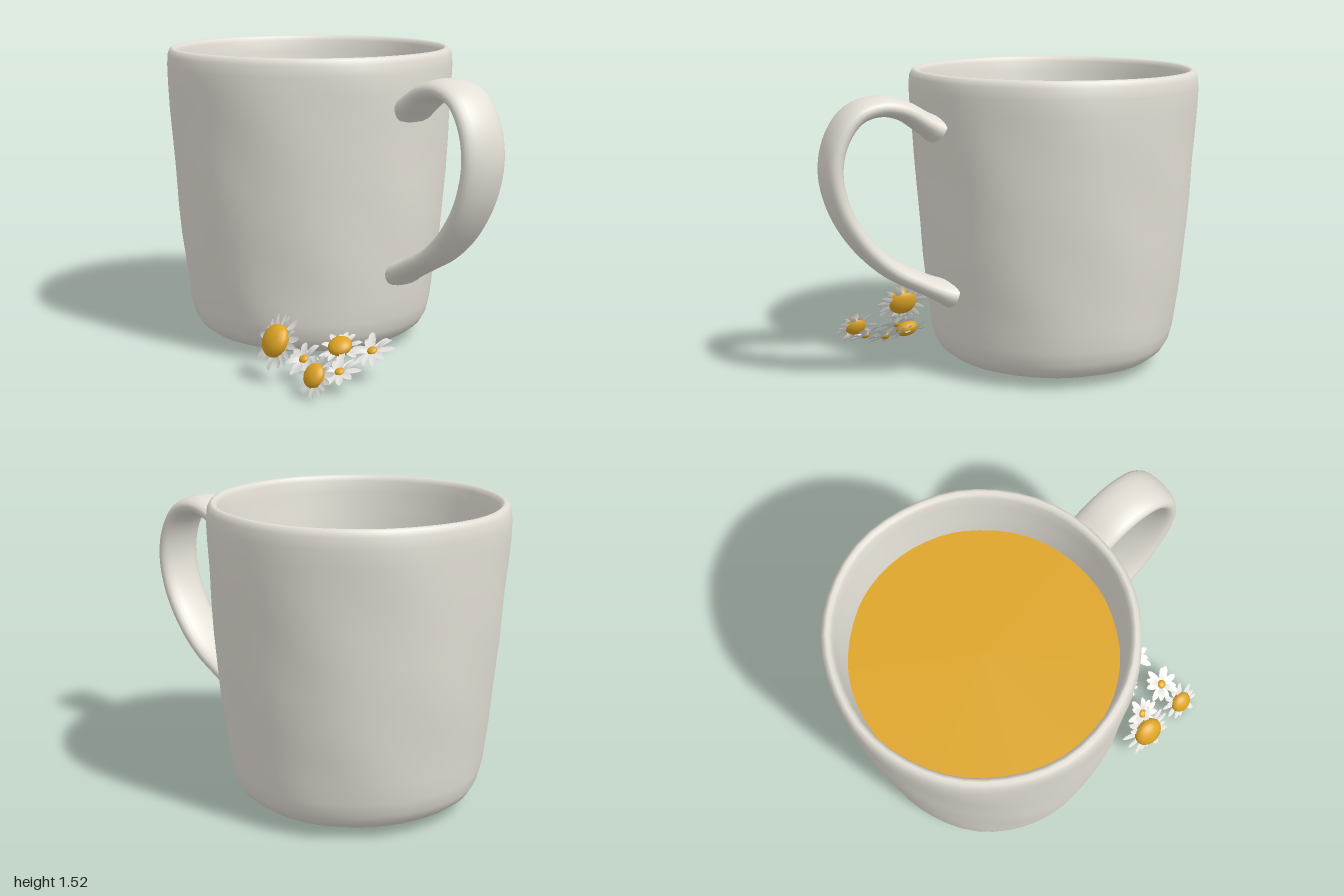
import * as THREE from 'three';
import { mergeGeometries, mergeVertices } from 'three/addons/utils/BufferGeometryUtils.js';

const ceramic = new THREE.MeshStandardMaterial({ name: 'ceramic', color: 0xe3dfd6 });
const amber = new THREE.MeshStandardMaterial({ name: 'amber', color: 0xdda424 });
const stain = new THREE.MeshStandardMaterial({ name: 'stainedClay', color: 0xd0b678 });
const petalWhite = new THREE.MeshStandardMaterial({ name: 'petalWhite', color: 0xf1f0ec, side: THREE.DoubleSide });

const MUG_X = -0.272;
const V2 = (p) => new THREE.Vector2(p[0], p[1]);

function addMesh(parent, name, geometry, material) {
  const mesh = new THREE.Mesh(geometry, material);
  mesh.name = name;
  parent.add(mesh);
  return mesh;
}

// Lathe with a faint hand-thrown unevenness, a touch deeper than wide
function thrownLathe(points, segments = 48) {
  let g = new THREE.LatheGeometry(points.map(V2), segments);
  const p = g.attributes.position;
  for (let i = 0; i < p.count; i++) {
    const x = p.getX(i), y = p.getY(i), z = p.getZ(i);
    const a = Math.atan2(z, x);
    const k = 1 + 0.004 * Math.sin(3 * a + 5 * y) + 0.005 * Math.sin(7 * a - 9 * y) * Math.cos(4 * y + 2 * a);
    p.setXYZ(i, x * k, y, z * k * 1.012);
  }
  g.deleteAttribute('uv');
  g.deleteAttribute('normal');
  g = mergeVertices(g, 1e-4);
  g.computeVertexNormals();
  return g;
}

function buildMug() {
  const mug = new THREE.Group();
  mug.name = 'mug';
  mug.position.x = MUG_X;

  // Outer wall, rounded rim, then inner wall down past the drink
  addMesh(mug, 'cup', thrownLathe([
    [0.49, 0.032], [0.54, 0.05], [0.585, 0.085], [0.612, 0.13], [0.63, 0.2], [0.641, 0.3],
    [0.656, 0.42], [0.672, 0.56], [0.687, 0.72], [0.699, 0.88], [0.709, 1.04], [0.719, 1.2],
    [0.727, 1.34], [0.729, 1.43], [0.724, 1.485], [0.712, 1.51], [0.697, 1.518], [0.683, 1.51],
    [0.673, 1.49], [0.666, 1.43], [0.655, 1.33], [0.64, 1.21], [0.62, 0.9], [0.56, 0.2], [0, 0.12],
  ]), ceramic);

  // Tinted underside
  addMesh(mug, 'base', thrownLathe([
    [0, 0], [0.25, 0.002], [0.36, 0.007], [0.43, 0.016], [0.49, 0.032],
  ]), stain);

  // Drink surface
  const drink = addMesh(mug, 'drink', new THREE.CircleGeometry(0.647, 56), amber);
  drink.rotation.x = -Math.PI / 2;
  drink.position.y = 1.215;
  return mug;
}

// Soft strap swept along a curve, flaring slightly where it joins the wall
function buildHandle(parent) {
  const curve = new THREE.CatmullRomCurve3([
    [0.42, 1.255], [0.49, 1.295], [0.59, 1.355], [0.71, 1.38], [0.83, 1.345], [0.915, 1.235], [0.948, 1.08],
    [0.91, 0.9], [0.805, 0.725], [0.67, 0.595], [0.52, 0.51], [0.43, 0.465], [0.36, 0.435],
  ].map(([x, y]) => new THREE.Vector3(x, y, -0.12)));
  const steps = 60, sides = 20, pos = [], index = [];
  for (let i = 0; i <= steps; i++) {
    const t = i / steps;
    const c = curve.getPointAt(t), d = curve.getTangentAt(t);
    const flare = Math.exp(-Math.min(t, 1 - t) * 28);
    const thick = 0.049 + 0.02 * flare;
    const wide = 0.121 + 0.01 * flare;
    for (let j = 0; j < sides; j++) {
      const a = (j / sides) * Math.PI * 2;
      const u = Math.sign(Math.cos(a)) * Math.abs(Math.cos(a)) ** 0.9 * thick;
      const w = Math.sign(Math.sin(a)) * Math.abs(Math.sin(a)) ** 0.9 * wide;
      pos.push(c.x - d.y * u, c.y + d.x * u, c.z + w);
      if (i < steps) {
        const k = i * sides + j, n = i * sides + ((j + 1) % sides);
        index.push(k, n, k + sides, n, n + sides, k + sides);
      }
    }
  }
  const g = new THREE.BufferGeometry();
  g.setAttribute('position', new THREE.Float32BufferAttribute(pos, 3));
  g.setIndex(index);
  g.computeVertexNormals();
  addMesh(parent, 'handle', g, ceramic);
}

// One petal lying along +x: rounded outline, gently folded, bending toward its tip
function petal(inner, outer, width, rise) {
  const g = new THREE.PlaneGeometry(1, 1, 6, 2);
  const p = g.attributes.position;
  for (let i = 0; i < p.count; i++) {
    const t = p.getX(i) + 0.5, s = p.getY(i) * 2;
    const half = width * (0.35 + 0.65 * Math.sin(Math.PI * Math.min(1, t * 0.85 + 0.1))) * (t > 0.95 ? 0.45 : 1);
    p.setXYZ(i, inner + (outer - inner) * t, rise * Math.sin(t * 2) + 0.2 * Math.abs(s) * half, -s * half);
  }
  g.computeVertexNormals();
  return g;
}

// Daisy facing along its normal, petals alternately raised and lowered
function buildDaisy(name, { at, normal, radius, disc, count, width, rise }) {
  const daisy = new THREE.Group();
  daisy.name = name;
  const petals = [];
  for (let i = 0; i < count; i++) {
    const vary = Math.sin(i * 2.4 + at[0] * 20);
    const g = petal(disc * 0.6, radius * (1 + 0.08 * vary), width, rise + 0.016 * Math.sin(i * 3.7));
    g.rotateY((i + 0.2 * vary) / count * Math.PI * 2);
    petals.push(g);
  }
  addMesh(daisy, 'petals', mergeGeometries(petals), petalWhite);
  const heart = addMesh(daisy, 'flowerHeart', new THREE.SphereGeometry(disc, 18, 12), amber);
  heart.scale.y = 0.62;
  heart.position.y = disc * 0.2;
  daisy.position.set(...at);
  daisy.quaternion.setFromUnitVectors(new THREE.Vector3(0, 1, 0), new THREE.Vector3(...normal).normalize());
  return daisy;
}

export function createModel() {
  const model = new THREE.Group();
  model.name = 'mugWithDaisies';
  model.add(buildMug());
  buildHandle(model);

  // Daisies beside the foot of the mug
  const flowers = new THREE.Group();
  flowers.name = 'daisies';
  [
    { at: [0.34, 0.197, 0.6], normal: [0, 0.45, 0.9], radius: 0.14, disc: 0.082, count: 18, width: 0.017, rise: 0 },
    { at: [0.62, 0.1, 0.575], normal: [0.03, 0.5, 0.86], radius: 0.106, disc: 0.06, count: 17, width: 0.015, rise: 0 },
    { at: [0.425, 0.132, 0.3], normal: [0.2, 0.85, 0.4], radius: 0.105, disc: 0.06, count: 15, width: 0.015, rise: 0 },
    { at: [0.575, 0.14, 0.22], normal: [0.1, 0.85, 0.45], radius: 0.108, disc: 0.025, count: 11, width: 0.019, rise: 0.008 },
    { at: [0.41, 0.108, 0.5], normal: [0.1, 0.75, 0.6], radius: 0.092, disc: 0.024, count: 11, width: 0.018, rise: 0.01 },
    { at: [0.61, 0.088, 0.435], normal: [0.1, 0.85, 0.4], radius: 0.1, disc: 0.024, count: 11, width: 0.019, rise: 0.01 },
  ].forEach((f, i) => flowers.add(buildDaisy('daisy' + (i + 1), f)));
  model.add(flowers);
  return model;
}
